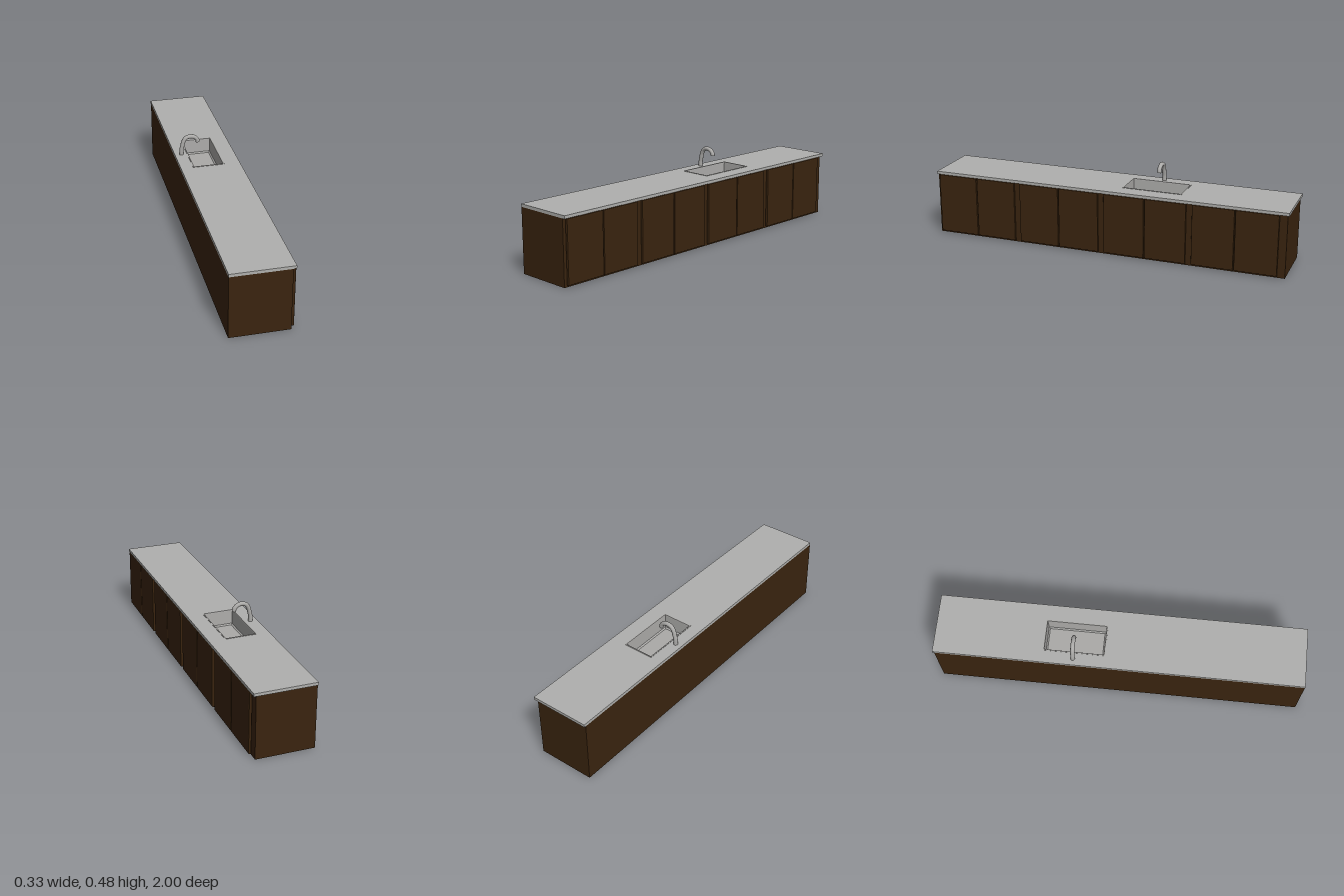
import * as THREE from 'three';

const wood = new THREE.MeshStandardMaterial({ color: 0x3a240f });
wood.name = 'darkWood';
const stone = new THREE.MeshStandardMaterial({ color: 0xb0b0ae });
stone.name = 'greyStone';
const metal = new THREE.MeshStandardMaterial({ color: 0xabaaa8, side: THREE.DoubleSide });
metal.name = 'greyMetal';

function add(parent, name, geometry, material) {
  const mesh = new THREE.Mesh(geometry, material);
  mesh.name = name;
  parent.add(mesh);
  return mesh;
}

// box given by its limits
function slab(parent, name, x0, x1, y0, y1, z0, z1, material) {
  const mesh = add(parent, name, new THREE.BoxGeometry(x1 - x0, y1 - y0, z1 - z0), material);
  mesh.position.set((x0 + x1) / 2, (y0 + y1) / 2, (z0 + z1) / 2);
  return mesh;
}

// closed rectangle outline in the plan
function rect(path, x0, x1, z0, z1) {
  path.moveTo(x0, -z0);
  path.lineTo(x0, -z1);
  path.lineTo(x1, -z1);
  path.lineTo(x1, -z0);
  path.closePath();
  return path;
}

// horizontal plate with a rectangular cut-out
function plateWithHole(parent, name, outer, hole, y0, y1, material) {
  const shape = rect(new THREE.Shape(), ...outer);
  shape.holes.push(rect(new THREE.Path(), ...hole));
  const geo = new THREE.ExtrudeGeometry(shape, { depth: y1 - y0, bevelEnabled: false });
  geo.rotateX(-Math.PI / 2).translate(0, y0, 0);
  return add(parent, name, geo, material);
}

// tapered basin: rectangular rings joined downwards, then a floor
function basinGeometry(x0, x1, z0, z1, rings) {
  const pos = [], index = [];
  rings.forEach(([y, inset]) => pos.push(
    x0 + inset, y, z0 + inset, x1 - inset, y, z0 + inset,
    x1 - inset, y, z1 - inset, x0 + inset, y, z1 - inset));
  for (let r = 0; r < rings.length - 1; r++) {
    for (let i = 0; i < 4; i++) {
      const a = r * 4 + i, b = r * 4 + (i + 1) % 4;
      index.push(a, a + 4, b, b, a + 4, b + 4);
    }
  }
  const f = (rings.length - 1) * 4;
  index.push(f, f + 2, f + 1, f, f + 3, f + 2);
  const geo = new THREE.BufferGeometry();
  geo.setAttribute('position', new THREE.Float32BufferAttribute(pos, 3));
  geo.setIndex(index);
  const flat = geo.toNonIndexed();
  flat.computeVertexNormals();
  return flat;
}

// door panel with chamfered edges, facing +x
function doorGeometry(width, height, thickness) {
  const b = 0.005;
  const w = width / 2 - b, h = height / 2 - b;
  const shape = rect(new THREE.Shape(), -w, w, -h, h);
  const geo = new THREE.ExtrudeGeometry(shape, {
    depth: thickness - 2 * b, bevelEnabled: true, bevelSize: b, bevelThickness: b, bevelSegments: 2,
  });
  return geo.translate(0, 0, b).rotateY(Math.PI / 2);
}

export function createModel() {
  const model = new THREE.Group();
  model.name = 'kitchenCounter';

  // cabinet carcass, hollow so that the basin fits inside
  const cabinet = new THREE.Group();
  cabinet.name = 'cabinet';
  model.add(cabinet);
  const bx0 = -0.168, bx1 = 0.147, top = 0.347, bz0 = -0.99, bz1 = 0.999, t = 0.012;
  slab(cabinet, 'cabinetBottom', bx0, bx1, 0, t, bz0, bz1, wood);
  slab(cabinet, 'cabinetBack', bx0, bx0 + t, t, top, bz0, bz1, wood);
  slab(cabinet, 'cabinetFront', bx1 - t, bx1, t, top, bz0, bz1, wood);
  slab(cabinet, 'cabinetEndLeft', bx0 + t, bx1 - t, t, top, bz1 - t, bz1, wood);
  slab(cabinet, 'cabinetEndRight', bx0 + t, bx1 - t, t, top, bz0, bz0 + t, wood);

  // four pairs of doors standing just off the carcass
  const doors = new THREE.Group();
  doors.name = 'doors';
  model.add(doors);
  const doorWidth = 0.228, doorHeight = 0.334, pitch = 0.492;
  const doorGeo = doorGeometry(doorWidth, doorHeight, 0.016);
  for (let pair = 0; pair < 4; pair++) {
    for (const side of [-1, 1]) {
      const door = add(doors, 'door', doorGeo, wood);
      const centre = 0.756 - pair * pitch;
      door.position.set(0.149, 0.011 + doorHeight / 2, centre + side * (doorWidth / 2 + 0.002));
    }
  }

  // worktop with the sink cut-out
  const sx0 = -0.1, sx1 = 0.075, sz0 = -0.41, sz1 = -0.075, lip = 0.006;
  const hole = [sx0 + lip, sx1 - lip, sz0 + lip, sz1 - lip];
  plateWithHole(model, 'worktop', [-0.168, 0.163, -1, 1], hole, top, 0.363, stone);

  // sink
  const sink = new THREE.Group();
  sink.name = 'sink';
  model.add(sink);
  plateWithHole(sink, 'sinkRim', [sx0, sx1, sz0, sz1], hole, 0.363, 0.365, metal);
  add(sink, 'sinkBasin', basinGeometry(...hole,
    [[0.365, 0], [0.36, 0.001], [0.287, 0.004], [0.28, 0.011]]), metal);

  // tap: upright foot, leaning neck and hooked spout
  const tap = new THREE.Group();
  tap.name = 'tap';
  tap.position.z = -0.245;
  model.add(tap);
  const path = new THREE.CatmullRomCurve3([
    [-0.131, 0.361], [-0.131, 0.378], [-0.130, 0.394], [-0.125, 0.417], [-0.118, 0.442],
    [-0.105, 0.461], [-0.08, 0.469], [-0.056, 0.463], [-0.041, 0.448], [-0.037, 0.433],
  ].map(([x, y]) => new THREE.Vector3(x, y, 0)));
  add(tap, 'tapPipe', new THREE.TubeGeometry(path, 48, 0.0115, 16, false), metal);
  const end = add(tap, 'tapMouth', new THREE.CircleGeometry(0.0115, 16), metal);
  end.position.set(-0.037, 0.433, 0);
  end.lookAt(end.position.clone().add(path.getTangent(1)));

  return model;
}
